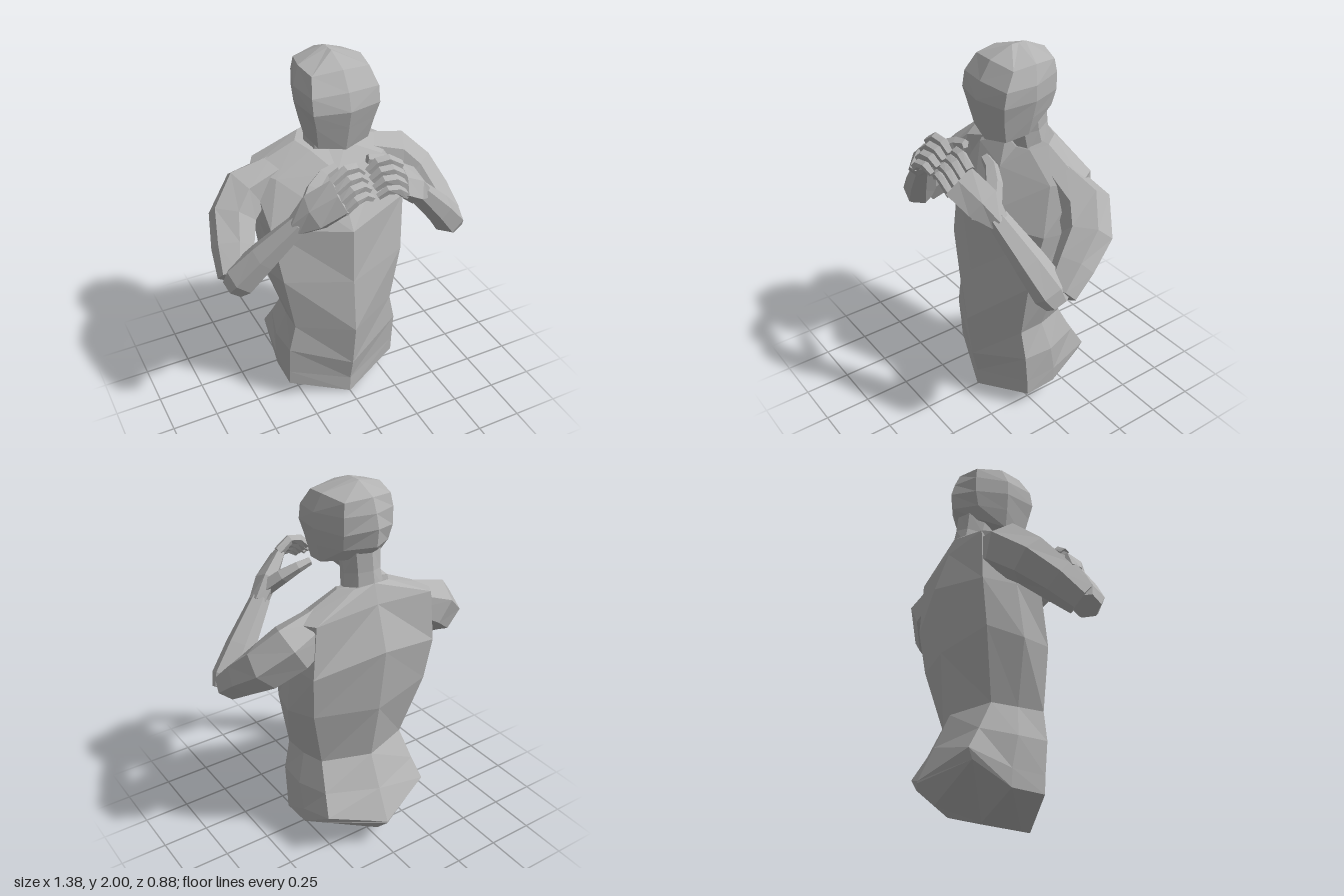
import * as THREE from 'three';

const skin = new THREE.MeshStandardMaterial({ color: 0xb3b3b3 });
skin.name = 'plain grey';
skin.flatShading = true;

const V = (x, y, z) => new THREE.Vector3(x, y, z);

// Skins a row of closed cross-sections and caps both ends, with flat facets.
// From column flipFrom on, the quads are split the other way, to keep halves symmetrical.
function loft(name, rings, flipFrom) {
  const pos = [];
  const tri = (a, b, c) => {
    const area = V().subVectors(b, a).cross(V().subVectors(c, a)).length();
    if (area > 1e-7) for (const p of [a, b, c]) pos.push(p.x, p.y, p.z);
  };
  const n = rings[0].length;
  const centre = r => r.reduce((s, p) => s.add(p), V(0, 0, 0)).divideScalar(n);
  const first = rings[0], last = rings[rings.length - 1];
  const c0 = centre(first), c1 = centre(last);
  for (let i = 0; i < n; i++) {
    const k = (i + 1) % n;
    for (let j = 0; j < rings.length - 1; j++) {
      const a = rings[j], b = rings[j + 1];
      if (i < flipFrom) {
        tri(a[i], a[k], b[k]);
        tri(a[i], b[k], b[i]);
      } else {
        tri(a[i], a[k], b[i]);
        tri(a[k], b[k], b[i]);
      }
    }
    tri(c0, first[k], first[i]);
    tri(c1, last[i], last[k]);
  }
  const geo = new THREE.BufferGeometry();
  geo.setAttribute('position', new THREE.Float32BufferAttribute(pos, 3));
  geo.computeVertexNormals();
  const mesh = new THREE.Mesh(geo, skin);
  mesh.name = name;
  return mesh;
}

// Half section (front, front corner, side, back corner, back) mirrored to a full ring
function mirrorRing(half) {
  const r = half.map(p => V(...p));
  for (let i = 3; i > 0; i--) r.push(V(-half[i][0], half[i][1], half[i][2]));
  return r;
}
const body = (name, halves) => loft(name, halves.map(mirrorRing), 4);

// Limb along stations [x, y, z, radius along hint, radius across]; side mirrors it
function limb(name, side, stations, hint, sides = 6) {
  const c = stations.map(s => V(s[0], s[1], s[2]));
  const rings = stations.map((s, i) => {
    const t = V().subVectors(c[Math.min(i + 1, c.length - 1)], c[Math.max(i - 1, 0)]).normalize();
    const u = hint.clone().addScaledVector(t, -hint.dot(t)).normalize();
    const v = V().crossVectors(t, u);
    const ring = [];
    for (let k = 0; k < sides; k++) {
      const a = ((k + 0.5) / sides) * Math.PI * 2;
      const p = c[i].clone().addScaledVector(u, Math.cos(a) * s[3]).addScaledVector(v, Math.sin(a) * s[4]);
      p.x *= side;
      ring.push(p);
    }
    return side < 0 ? ring.reverse() : ring;
  });
  return loft(name, rings, side < 0 ? 0 : sides);
}

function makeArm(side) {
  const arm = new THREE.Group();
  arm.name = side > 0 ? 'leftArm' : 'rightArm';
  arm.add(limb('upperArm', side, [
    [0.23, 1.36, -0.19, 0.09, 0.095], [0.42, 1.275, -0.195, 0.135, 0.13], [0.525, 1.18, -0.13, 0.125, 0.122],
    [0.575, 1.08, -0.01, 0.11, 0.1], [0.615, 0.985, 0.1, 0.085, 0.08],
  ], V(0.6, 0.6, -0.5)));
  arm.add(limb('forearm', side, [
    [0.63, 0.95, 0.12, 0.07, 0.065], [0.595, 1.0, 0.14, 0.094, 0.087],
    [0.49, 1.13, 0.188, 0.083, 0.074], [0.325, 1.32, 0.26, 0.056, 0.05],
  ], V(0, 0.1, 1)));

  // Hand, cupped towards the middle
  const spread = V(0, 0.72, -0.69);
  const hand = new THREE.Group();
  hand.name = 'hand';
  hand.add(limb('palm', side, [
    [0.34, 1.305, 0.255, 0.055, 0.05], [0.265, 1.385, 0.3, 0.1, 0.058], [0.16, 1.475, 0.36, 0.1, 0.035],
  ], spread));
  for (let i = 0; i < 4; i++) {
    const r = i === 3 ? 0.023 : 0.027;
    hand.add(limb('finger', side, [
      [0.18 - 0.005 * i, 1.525 - 0.036 * i, 0.31 + 0.032 * i, r, r],
      [0.11, 1.575 - 0.036 * i, 0.31 + 0.035 * i, r, r],
      [0.06, 1.568 - 0.031 * i, 0.302 + 0.035 * i, r, r],
      [0.015, 1.525 - 0.027 * i, 0.295 + 0.034 * i, r * 0.75, r * 0.75],
    ], spread, 5));
  }
  hand.add(limb('thumb', side, [
    [0.29, 1.37, 0.265, 0.05, 0.045], [0.22, 1.44, 0.205, 0.047, 0.04],
    [0.15, 1.485, 0.168, 0.036, 0.03], [0.085, 1.505, 0.158, 0.025, 0.022],
  ], spread, 5));
  arm.add(hand);
  return arm;
}

export function createModel() {
  const model = new THREE.Group();
  model.name = 'upperBodyFigure';

  // Torso from the pelvis up to the base of the neck
  model.add(body('torso', [
    [[0, 0, 0.17], [0, 0.005, 0.12], [0, 0.02, -0.1], [0, 0.07, -0.35], [0, 0.07, -0.35]],
    [[0, 0, 0.17], [0.325, 0.1, 0.055], [0.325, 0.11, -0.12], [0.3, 0.22, -0.31], [0, 0.165, -0.44]],
    [[0, 0.1, 0.17], [0.325, 0.19, 0.06], [0.33, 0.2, -0.12], [0.31, 0.27, -0.335], [0, 0.175, -0.44]],
    [[0, 0.24, 0.2], [0.325, 0.36, 0.075], [0.335, 0.36, -0.09], [0.285, 0.38, -0.27], [0, 0.35, -0.36]],
    [[0, 0.5, 0.23], [0.29, 0.52, 0.08], [0.285, 0.52, -0.06], [0.255, 0.53, -0.19], [0, 0.53, -0.28]],
    [[0, 0.81, 0.2], [0.345, 0.84, 0.08], [0.385, 0.84, -0.08], [0.345, 0.88, -0.265], [0, 0.85, -0.34]],
    [[0, 1.12, 0.19], [0.38, 1.14, 0.02], [0.385, 1.12, -0.12], [0.365, 1.12, -0.3], [0, 1.2, -0.385]],
    [[0, 1.37, 0.01], [0.3, 1.365, -0.075], [0.4, 1.39, -0.19], [0.34, 1.4, -0.295], [0, 1.43, -0.31]],
    [[0, 1.45, -0.09], [0.1, 1.47, -0.1], [0.15, 1.5, -0.18], [0.1, 1.515, -0.255], [0, 1.53, -0.28]],
  ]));

  // Neck
  model.add(body('neck', [
    [[0, 1.43, -0.1], [0.08, 1.43, -0.11], [0.11, 1.45, -0.18], [0.075, 1.48, -0.255], [0, 1.5, -0.285]],
    [[0, 1.55, -0.075], [0.07, 1.55, -0.09], [0.095, 1.56, -0.16], [0.065, 1.58, -0.235], [0, 1.59, -0.268]],
    [[0, 1.66, -0.05], [0.07, 1.66, -0.07], [0.1, 1.67, -0.14], [0.07, 1.69, -0.225], [0, 1.7, -0.255]],
  ]));

  // Head, with no features
  model.add(body('head', [
    [[0, 1.55, 0.1], [0.135, 1.575, 0.07], [0.155, 1.595, -0.05], [0.1, 1.635, -0.175], [0, 1.655, -0.235]],
    [[0, 1.68, 0.13], [0.155, 1.69, 0.095], [0.18, 1.69, -0.055], [0.13, 1.7, -0.205], [0, 1.72, -0.295]],
    [[0, 1.77, 0.15], [0.175, 1.77, 0.11], [0.2, 1.78, -0.06], [0.14, 1.78, -0.225], [0, 1.81, -0.305]],
    [[0, 1.86, 0.125], [0.175, 1.85, 0.095], [0.2, 1.86, -0.06], [0.14, 1.87, -0.225], [0, 1.88, -0.285]],
    [[0, 1.95, 0.065], [0.15, 1.935, 0.04], [0.165, 1.95, -0.08], [0.13, 1.935, -0.215], [0, 1.95, -0.255]],
    [[0, 2, -0.06], [0, 2, -0.06], [0, 2, -0.1], [0, 2, -0.14], [0, 2, -0.14]],
  ]));

  // Arms raised in front of the chest
  for (const side of [1, -1]) model.add(makeArm(side));
  return model;
}
